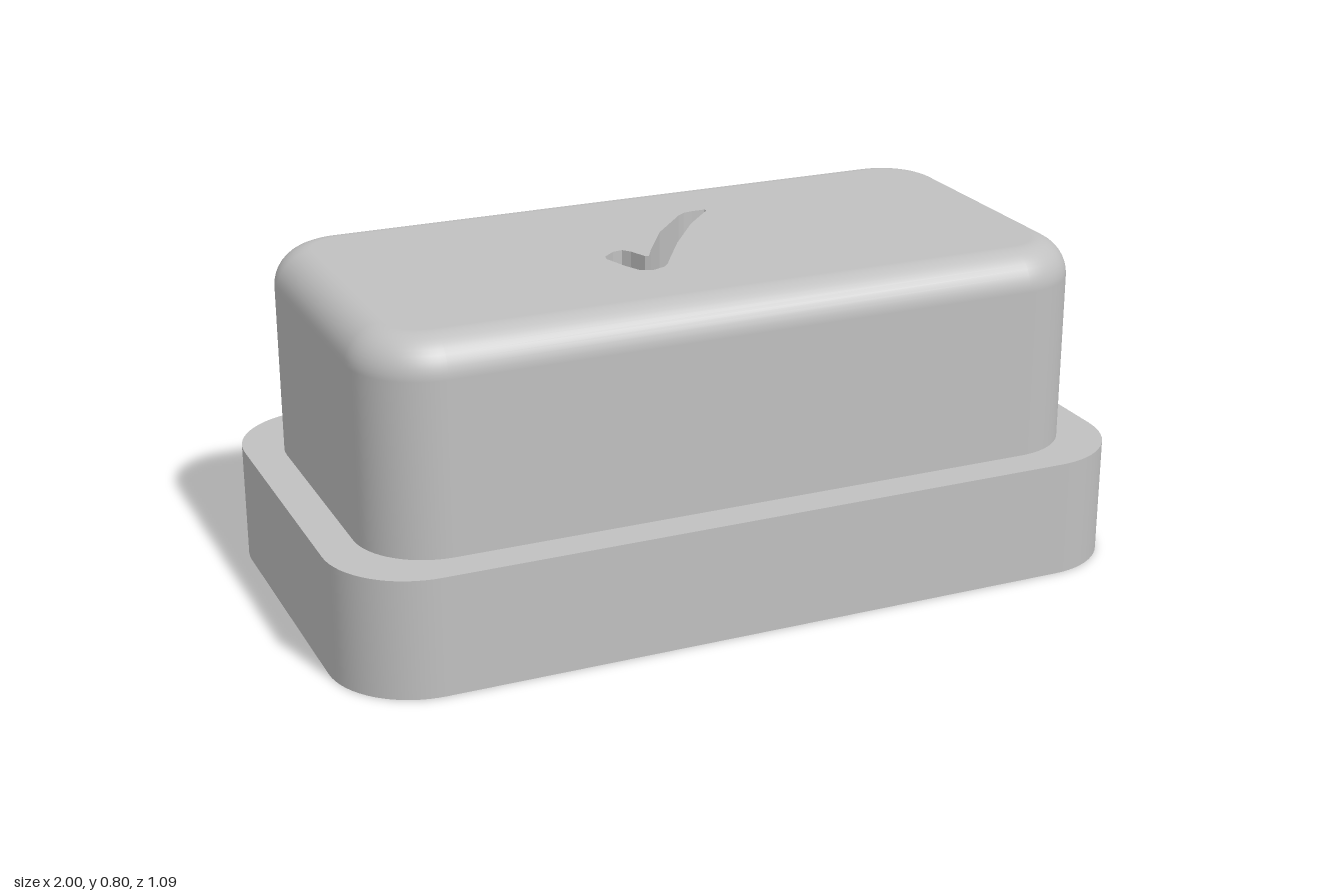
import * as THREE from 'three';

const BASE = { w: 1, d: 0.545, r: 0.21 };
const BLOCK = { w: 0.91, d: 0.455, r: 0.18 };
const BASE_TOP = 0.29, TOP = 0.8, FILLET = 0.09;
const HOLE_R = 0.42, HOLE_DEPTH = 0.1, MARK_DEPTH = 0.1;
const SEG = 16;

// Tick mark outline as [x, z], counter-clockwise from above
const TICK = [
  [0.18, -0.21], [0.145, -0.21], [0.12, -0.205], [0.1, -0.19], [0, -0.08], [-0.075, 0.04],
  [-0.1, 0.085], [-0.108, 0.08], [-0.125, 0.035], [-0.14, 0.015], [-0.165, 0.02], [-0.195, 0.045],
  [-0.2, 0.065], [-0.18, 0.13], [-0.16, 0.175], [-0.13, 0.185], [-0.09, 0.17],
  [-0.07, 0.135], [0.005, 0.015], [0.1, -0.115], [0.18, -0.2],
];

// Rounded rectangle as points with outward directions (shape y = -z)
function outline({ w, d, r }, inset = 0) {
  const pts = [];
  [[1, 1], [-1, 1], [-1, -1], [1, -1]].forEach(([sx, sy], q) => {
    for (let i = 0; i <= SEG; i++) {
      const a = (q + i / SEG) * Math.PI / 2;
      const nx = Math.cos(a), ny = Math.sin(a);
      pts.push({
        x: sx * (w - r) + (r - inset) * nx,
        y: sy * (d - r) + (r - inset) * ny, nx, ny,
      });
    }
  });
  return pts;
}

const toShape = (pts) => new THREE.Shape(pts.map((p) => new THREE.Vector2(p.x, p.y)));

// Smooth side skin through stacked rings of { inset, y, tilt }
function skin(rect, rings) {
  const pos = [], nor = [], idx = [];
  rings.forEach(({ inset, y, tilt }, j) => {
    const pts = outline(rect, inset), n = pts.length, c = Math.cos(tilt);
    pts.forEach((p, i) => {
      pos.push(p.x, y, -p.y);
      nor.push(p.nx * c, Math.sin(tilt), -p.ny * c);
      if (j === 0) return;
      const k = (i + 1) % n, lo = (j - 1) * n, hi = j * n;
      idx.push(lo + i, lo + k, hi + k, lo + i, hi + k, hi + i);
    });
  });
  const g = new THREE.BufferGeometry();
  g.setAttribute('position', new THREE.Float32BufferAttribute(pos, 3));
  g.setAttribute('normal', new THREE.Float32BufferAttribute(nor, 3));
  g.setIndex(idx);
  return g;
}

// Flat horizontal face, with optional holes
function face(shape, y, up = true, holes = []) {
  shape.holes.push(...holes);
  return new THREE.ShapeGeometry(shape, 48).rotateX(up ? -Math.PI / 2 : Math.PI / 2).translate(0, y, 0);
}

// Inward facing wall of the engraved mark
function recessWall(pts, y0, y1) {
  const pos = [];
  pts.forEach(([ax, az], i) => {
    const [bx, bz] = pts[(i + 1) % pts.length];
    pos.push(ax, y0, az, bx, y1, bz, bx, y0, bz, ax, y0, az, ax, y1, az, bx, y1, bz);
  });
  const g = new THREE.BufferGeometry();
  g.setAttribute('position', new THREE.Float32BufferAttribute(pos, 3));
  g.computeVertexNormals();
  return g;
}

export function createModel() {
  const model = new THREE.Group();
  model.name = 'stampBlock';
  const gray = new THREE.MeshStandardMaterial({ color: 0xc0c0c0, side: THREE.DoubleSide });
  gray.name = 'gray';
  const add = (name, geometry) => {
    const mesh = new THREE.Mesh(geometry, gray);
    mesh.name = name;
    model.add(mesh);
  };

  // Base plate with a round pocket underneath
  const circle = () => new THREE.Shape().absarc(0, 0, HOLE_R, 0, Math.PI * 2);
  add('baseSides', skin(BASE, [{ inset: 0, y: 0, tilt: 0 }, { inset: 0, y: BASE_TOP, tilt: 0 }]));
  add('baseLedge', face(toShape(outline(BASE)), BASE_TOP, true, [toShape(outline(BLOCK))]));
  add('baseUnderside', face(toShape(outline(BASE)), 0, false, [circle()]));
  add('pocketWall', new THREE.CylinderGeometry(HOLE_R, HOLE_R, HOLE_DEPTH, 96, 1, true)
    .translate(0, HOLE_DEPTH / 2, 0));
  add('pocketFloor', face(circle(), HOLE_DEPTH, false));

  // Upper block with a rounded top edge
  const rings = [{ inset: 0, y: BASE_TOP, tilt: 0 }];
  for (let i = 0; i <= 10; i++) {
    const tilt = (i / 10) * Math.PI / 2;
    rings.push({
      inset: FILLET * (1 - Math.cos(tilt)),
      y: TOP - FILLET * (1 - Math.sin(tilt)), tilt,
    });
  }
  add('blockSides', skin(BLOCK, rings));

  // Top face with the engraved tick
  const tick = () => toShape(TICK.map(([x, z]) => ({ x, y: -z })));
  add('blockTop', face(toShape(outline(BLOCK, FILLET)), TOP, true, [tick()]));
  add('tickWall', recessWall(TICK, TOP - MARK_DEPTH, TOP));
  add('tickFloor', face(tick(), TOP - MARK_DEPTH));

  return model;
}
